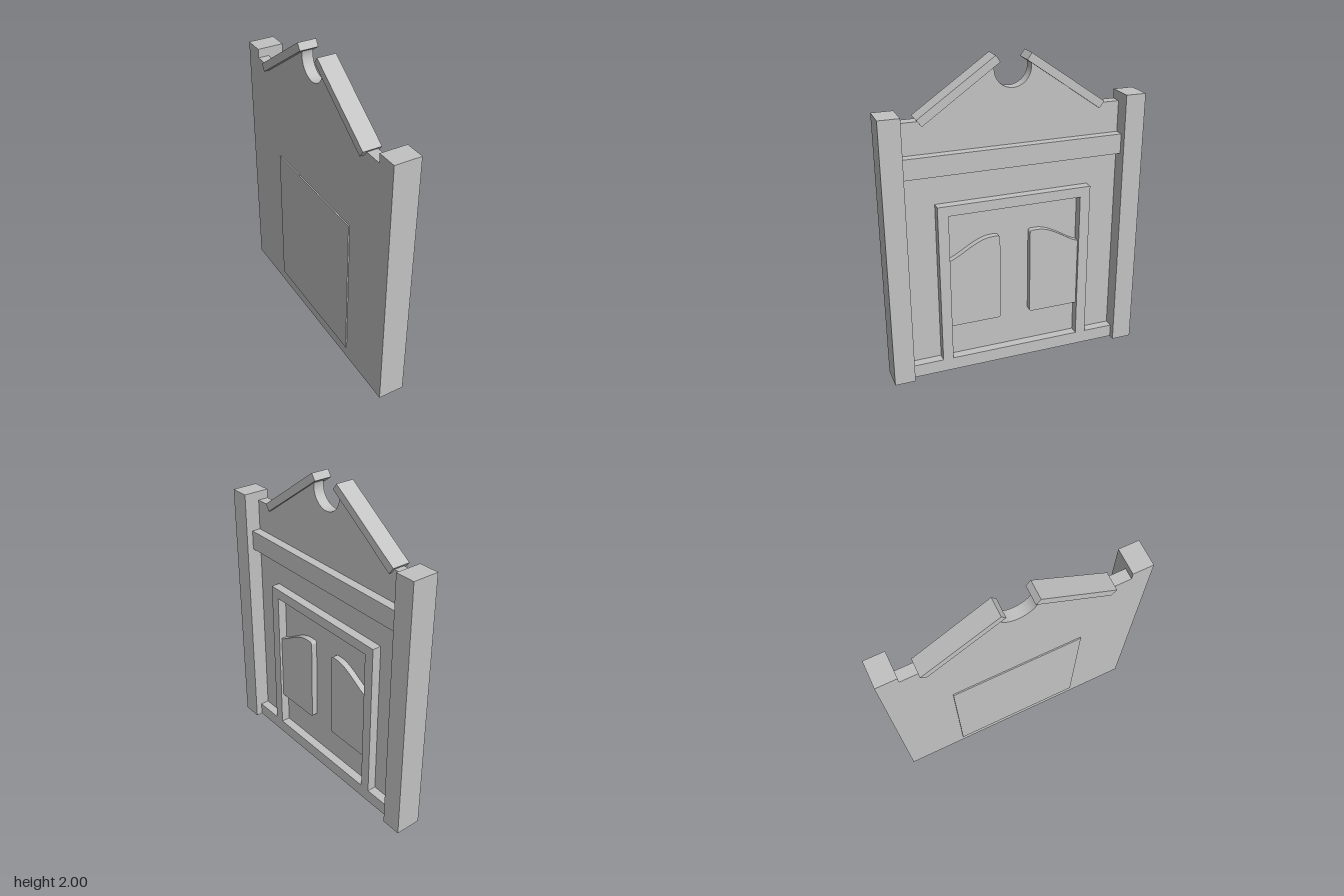
import * as THREE from 'three';

export function createModel() {
  const group = new THREE.Group();
  const stone = new THREE.MeshStandardMaterial({ color: 0xc2c2c2 });
  stone.name = 'paleGrey';

  const add = (name, geometry) => {
    const mesh = new THREE.Mesh(geometry, stone);
    mesh.name = name;
    group.add(mesh);
  };
  // Box given by its limits on each axis
  const box = (name, x0, x1, y0, y1, z0, z1) => add(name,
    new THREE.BoxGeometry(x1 - x0, y1 - y0, z1 - z0)
      .translate((x0 + x1) / 2, (y0 + y1) / 2, (z0 + z1) / 2));
  // Outline drawn in the side plane, extruded along x from x0 to x1
  const slab = (name, shape, x0, x1) => add(name,
    new THREE.ExtrudeGeometry(shape, { depth: x1 - x0, bevelEnabled: false, curveSegments: 20 })
      .rotateY(Math.PI / 2).translate(x0, 0, 0));
  const polygon = (points) => new THREE.Shape(points.map(([s, y]) => new THREE.Vector2(s, y)));

  // Wall with gable, round notch at the peak and a door opening
  const wall = new THREE.Shape();
  const notchY = 1.917, r = 0.115, a = Math.asin(0.023 / r);
  wall.moveTo(-0.695, 0);
  wall.lineTo(0.695, 0);
  wall.lineTo(0.695, 1.657);
  wall.lineTo(0.555, 1.657);
  wall.lineTo(r * Math.cos(a), notchY + r * Math.sin(a));
  wall.absarc(0, notchY, r, a, -Math.PI - a, true);
  wall.lineTo(-0.555, 1.657);
  wall.lineTo(-0.695, 1.657);
  wall.closePath();
  wall.holes.push(new THREE.Path([[-0.43, 0.085], [-0.43, 1.075], [0.43, 1.075], [0.43, 0.085]]
    .map(([s, y]) => new THREE.Vector2(s, y))));
  slab('wall', wall, -0.07, 0);

  // Door leaf, slightly proud at the back
  box('door', -0.078, 0, 0.085, 1.075, -0.43, 0.43);

  // Raised surround, base rail and cornice band
  slab('doorFrame', polygon([[-0.497, 0.085], [-0.43, 0.085], [-0.43, 1.075], [0.43, 1.075],
    [0.43, 0.085], [0.497, 0.085], [0.497, 1.14], [-0.497, 1.14]]), 0, 0.058);
  box('baseRail', 0, 0.058, 0, 0.085, -0.695, 0.695);
  box('corniceBand', 0, 0.058, 1.333, 1.46, -0.695, 0.695);

  for (const m of [-1, 1]) {
    const side = m < 0 ? 'left' : 'right';

    // Corner post
    const z = [0.695 * m, 0.825 * m].sort((p, q) => p - q);
    box(side + 'Post', -0.07, 0.1, 0, 1.715, z[0], z[1]);

    // Raised door panel with a swept top
    const panel = new THREE.Shape();
    panel.moveTo(0.43 * m, 0.31);
    panel.lineTo(0.43 * m, 0.767);
    panel.bezierCurveTo(0.36 * m, 0.785, 0.25 * m, 0.89, 0.15 * m, 0.89);
    panel.lineTo(0.12 * m, 0.89);
    panel.quadraticCurveTo(0.1 * m, 0.89, 0.1 * m, 0.868);
    panel.lineTo(0.1 * m, 0.328);
    panel.quadraticCurveTo(0.1 * m, 0.31, 0.118 * m, 0.31);
    panel.closePath();
    slab(side + 'DoorPanel', panel, 0, 0.04);

    // Sloping roof trim
    slab(side + 'RoofTrim', polygon([[0.11, 2], [0.082, 1.96], [0.557, 1.628], [0.587, 1.67]]
      .map(([s, y]) => [s * m, y])), -0.1, 0.018);
  }
  return group;
}
